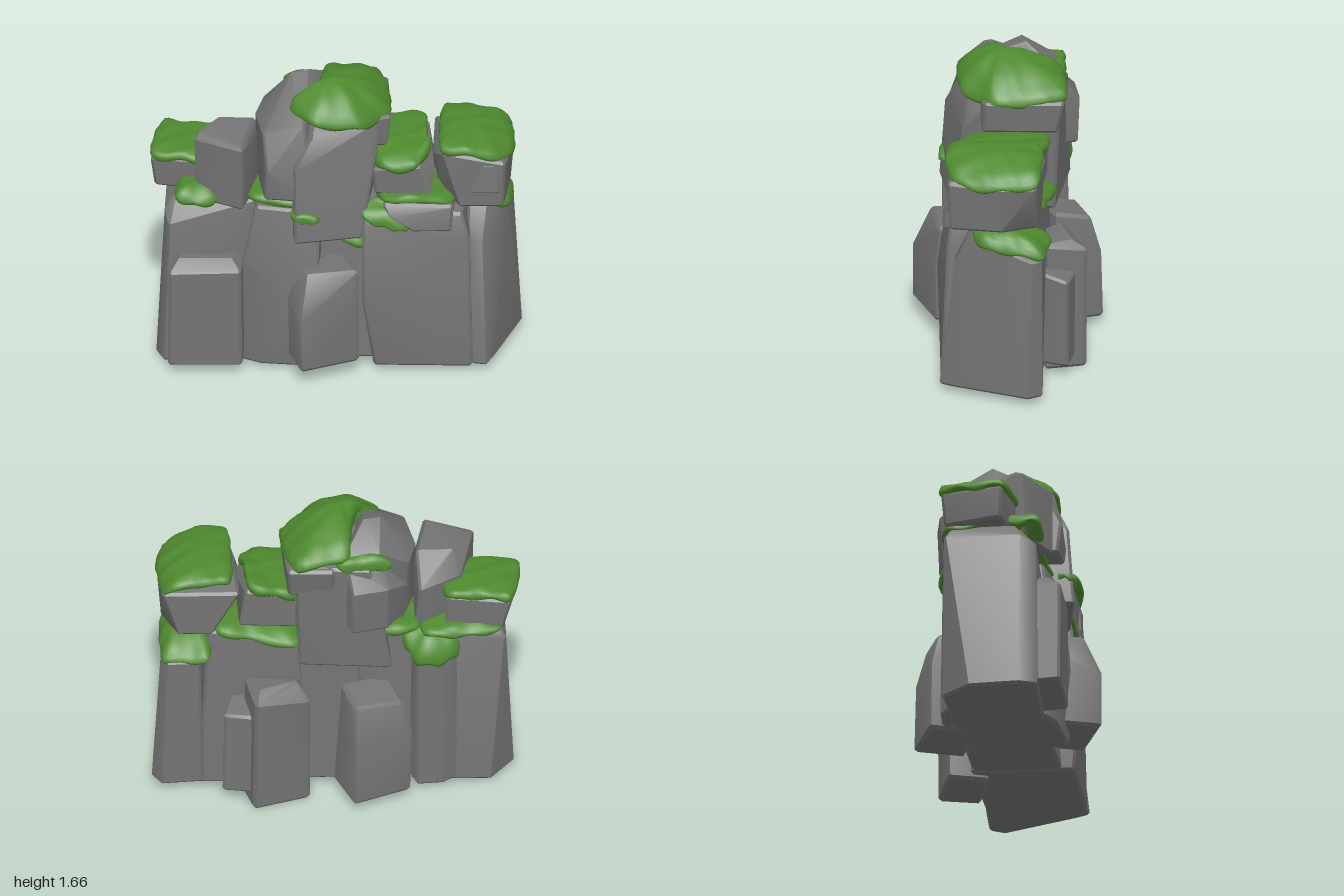
import * as THREE from 'three';
import { toCreasedNormals } from 'three/addons/utils/BufferGeometryUtils.js';
import { ConvexGeometry } from 'three/addons/geometries/ConvexGeometry.js';

const stone = new THREE.MeshStandardMaterial({ color: 0x747474 });
stone.name = 'stone grey';
const mossGreen = new THREE.MeshStandardMaterial({ color: 0x4f8a2f });
mossGreen.name = 'moss green';

// Chamfered boulder: hull of a flat base outline [x, z] at y0 and upper corners [x, y, z]
function rock(name, y0, base, upper, r = 0.014) {
  const corners = [...base.map(([x, z]) => [x, y0, z]), ...upper].map((p) => new THREE.Vector3(...p));
  const mid = new THREE.Box3().setFromPoints(corners).getCenter(new THREE.Vector3());
  const points = [];
  for (const c of corners) {
    for (const axis of ['x', 'y', 'z']) c[axis] -= Math.sign(c[axis] - mid[axis]) * r;
    for (const axis of ['x', 'y', 'z']) {
      for (const s of [-r, r]) {
        const p = c.clone();
        p[axis] += s;
        points.push(p);
      }
    }
  }
  const mesh = new THREE.Mesh(toCreasedNormals(new ConvexGeometry(points), 0.5), stone);
  mesh.name = name;
  return mesh;
}

// Lumpy moss cushion: rings from an apex out to a rounded rim [x, y, z], closed underneath
function moss(name, apex, rim, thick = 0.05, power = 2) {
  const N = 56;
  let area = 0;
  rim.forEach((p, i) => {
    const q = rim[(i + 1) % rim.length];
    area += p[0] * q[2] - q[0] * p[2];
  });
  const outline = (area > 0 ? [...rim].reverse() : rim).map((p) => new THREE.Vector3(...p));
  const edge = new THREE.CatmullRomCurve3(outline, true, 'catmullrom', 0.35).getSpacedPoints(N).slice(0, N);
  const [cx, cy, cz] = apex;
  // [spread, drop as a share of the thickness]
  const rings = [[0, 0], [0.2, 0], [0.4, 0], [0.58, 0], [0.74, 0], [0.87, 0.05], [0.96, 0.2],
    [1, 0.5], [0.98, 0.85], [0.9, 1], [0.5, 0.9], [0, 0.8]];
  const pos = [], index = [];
  rings.forEach(([f, d], i) => {
    edge.forEach((e, j) => {
      const x = cx + (e.x - cx) * f, z = cz + (e.z - cz) * f;
      const lump = Math.sin(x * 31 + z * 17) * Math.cos(z * 29 - x * 11) * 0.008;
      const sag = i > 6 ? 1 + 0.2 * Math.sin((j / N) * Math.PI * 14 + cx * 9) : 1;
      const under = i > 9 ? e.y - cy : (e.y - cy) * Math.pow(f, power);
      const y = cy + under - d * thick * sag + (i < 7 ? lump * Math.min(1, f * 3) : 0);
      pos.push(x + lump * 0.6 * f, y, z - lump * 0.6 * f);
      if (i) {
        const k = (j + 1) % N, a = (i - 1) * N, b = i * N;
        if (i > 1) index.push(a + j, b + k, a + k);
        if (f > 0) index.push(a + j, b + j, b + k);
      }
    });
  });
  const geo = new THREE.BufferGeometry();
  geo.setAttribute('position', new THREE.Float32BufferAttribute(pos, 3));
  geo.setIndex(index);
  geo.computeVertexNormals();
  const mesh = new THREE.Mesh(geo, mossGreen);
  mesh.name = name;
  return mesh;
}

export function createModel() {
  const model = new THREE.Group();
  model.name = 'mossyRocks';

  // Tall base columns
  const columns = new THREE.Group();
  columns.name = 'baseColumns';
  columns.add(
    rock('rightEndColumn', 0.015, [[-0.955, 0.2], [-0.92, 0.28], [-0.45, 0.25], [-0.4, -0.24], [-0.84, -0.25], [-0.955, -0.1]],
      [[-0.91, 0.93, 0.2], [-0.89, 0.88, 0.27], [-0.86, 1.0, 0.16], [-0.42, 0.98, 0.18], [-0.42, 1.0, -0.2], [-0.88, 1.0, -0.2], [-0.91, 0.94, -0.23], [-0.6, 0.72, 0.27]]),
    rock('rightMiddleColumn', 0.025, [[-0.49, 0.27], [-0.4, 0.31], [-0.08, 0.33], [-0.06, -0.2], [-0.48, -0.22]],
      [[-0.485, 0.66, 0.28], [-0.33, 0.5, 0.33], [-0.2, 0.43, 0.365], [-0.08, 0.42, 0.36], [-0.42, 0.97, 0.24], [-0.2, 0.97, 0.27], [-0.07, 0.93, 0.25], [-0.08, 1.0, -0.2], [-0.4, 1.0, -0.2]]),
    rock('centreColumn', 0.04, [[-0.14, 0.24], [0.24, 0.24], [0.24, -0.24], [-0.14, -0.24]],
      [[-0.12, 0.84, 0.14], [0.22, 0.74, 0.2], [0.22, 0.84, -0.22], [-0.12, 0.84, -0.22]]),
    rock('leftMiddleColumn', 0.03, [[0.22, 0.31], [0.75, 0.3], [0.75, -0.24], [0.17, -0.25]],
      [[0.16, 0.44, 0.36], [0.48, 0.6, 0.325], [0.16, 0.9, 0.3], [0.17, 1.0, 0.25], [0.7, 0.96, 0.25], [0.74, 0.82, 0.27], [0.7, 1.0, -0.2], [0.2, 0.94, -0.23]]),
    rock('leftEndColumn', 0.04, [[0.745, 0.29], [0.81, 0.3], [0.87, 0.22], [1.0, -0.2], [0.96, -0.265], [0.72, -0.25]],
      [[0.72, 0.78, 0.22], [0.79, 0.78, 0.22], [0.72, 0.98, 0.13], [0.81, 0.97, 0.12], [0.93, 0.92, 0.0], [0.955, 0.84, -0.22], [0.93, 0.84, -0.26], [0.74, 0.85, -0.27], [0.74, 0.99, -0.05]]),
    rock('rearColumn', 0.03, [[-0.66, -0.24], [-0.58, -0.3], [-0.42, -0.31], [-0.36, -0.1], [-0.64, -0.1]],
      [[-0.64, 0.84, -0.24], [-0.56, 0.84, -0.29], [-0.42, 0.84, -0.3], [-0.38, 0.93, -0.1], [-0.62, 0.93, -0.1]]),
  );

  // Short blocks leaning on the columns
  const blocks = new THREE.Group();
  blocks.name = 'footBlocks';
  blocks.add(
    rock('frontRightBlock', 0.055, [[-0.885, 0.4], [-0.485, 0.385], [-0.47, 0.1], [-0.87, 0.1]],
      [[-0.88, 0.64, 0.4], [-0.49, 0.65, 0.385], [-0.84, 0.69, 0.34], [-0.53, 0.69, 0.33], [-0.49, 0.67, 0.1], [-0.86, 0.67, 0.1]]),
    rock('frontCentreBlock', 0.095, [[-0.17, 0.515], [0.145, 0.385], [0.06, 0.15], [-0.245, 0.28]],
      [[-0.18, 0.43, 0.515], [0.145, 0.43, 0.39], [-0.255, 0.5, 0.3], [-0.15, 0.65, 0.42], [0.14, 0.65, 0.33], [0.04, 0.65, 0.15], [-0.2, 0.63, 0.25]], 0.018),
    rock('backRightBlock', 0.05, [[-0.385, -0.395], [-0.07, -0.515], [0.02, -0.25], [-0.29, -0.14]],
      [[-0.395, 0.45, -0.39], [-0.075, 0.45, -0.505], [-0.35, 0.62, -0.36], [-0.08, 0.64, -0.45], [-0.02, 0.68, -0.25], [-0.28, 0.66, -0.15]], 0.018),
    rock('backLeftBlock', 0, [[0.155, -0.375], [0.465, -0.465], [0.52, -0.24], [0.22, -0.16]],
      [[0.155, 0.66, -0.38], [0.455, 0.7, -0.47], [0.21, 0.74, -0.33], [0.44, 0.735, -0.4], [0.5, 0.73, -0.24], [0.22, 0.7, -0.18]], 0.018),
    rock('backLeftSlab', 0.07, [[0.45, -0.405], [0.625, -0.38], [0.58, -0.2], [0.44, -0.2]],
      [[0.46, 0.57, -0.405], [0.62, 0.57, -0.38], [0.58, 0.6, -0.22], [0.45, 0.6, -0.22]]),
  );

  // Boulders stacked on top
  const boulders = new THREE.Group();
  boulders.name = 'upperBoulders';
  boulders.add(
    rock('centreTower', 0.815, [[-0.205, 0.375], [0.16, 0.3], [0.21, -0.28], [-0.29, -0.325]],
      [[-0.21, 1.27, 0.345], [-0.12, 1.44, 0.27], [0.23, 1.3, 0.22], [0.19, 1.46, 0.2], [0.24, 1.46, 0.1], [0.23, 1.48, -0.31], [-0.18, 1.46, -0.32], [-0.1, 1.55, 0.05]]),
    rock('towerShoulder', 1.29, [[0.05, 0.14], [0.29, 0.11], [0.27, -0.3], [0.02, -0.31]],
      [[0.05, 1.47, 0.18], [0.305, 1.47, 0.1], [0.275, 1.47, -0.33], [0.02, 1.47, -0.34]]),
    rock('peakBoulder', 1.05, [[-0.42, 0], [-0.37, 0.31], [-0.1, 0.33], [0, -0.2], [-0.36, -0.2]],
      [[-0.43, 1.42, -0.02], [-0.36, 1.22, 0.33], [-0.38, 1.43, 0.24], [-0.15, 1.5, 0.26], [-0.25, 1.635, -0.08], [-0.13, 1.64, -0.11], [-0.39, 1.43, -0.19], [-0.24, 1.54, -0.26], [-0.03, 1.53, -0.28]]),
    rock('backBoulder', 1.08, [[-0.36, -0.18], [-0.28, -0.33], [-0.07, -0.38], [0, -0.2]],
      [[-0.38, 1.3, -0.2], [-0.28, 1.36, -0.35], [-0.07, 1.36, -0.39], [-0.25, 1.45, -0.24], [-0.05, 1.46, -0.28], [0, 1.4, -0.18]]),
    rock('rightUpperBlock', 0.98, [[-0.66, -0.1], [-0.42, -0.2], [-0.42, 0.08], [-0.48, 0.3], [-0.74, 0.2]],
      [[-0.67, 1.27, -0.1], [-0.44, 1.25, -0.2], [-0.41, 1.3, 0], [-0.48, 1.36, 0.3], [-0.75, 1.36, 0.19], [-0.74, 1.375, 0.15], [-0.64, 1.375, -0.03], [-0.43, 1.375, -0.03], [-0.48, 1.375, 0.25]]),
    rock('rightLedge', 1.0, [[-0.97, 0.09], [-0.62, 0.15], [-0.58, -0.2], [-0.9, -0.23]],
      [[-0.99, 1.18, 0.1], [-0.62, 1.19, 0.15], [-0.58, 1.19, -0.2], [-0.94, 1.18, -0.24]]),
    rock('leftUpperBlock', 1.0, [[0.67, 0.25], [0.92, 0.24], [0.945, -0.06], [0.87, -0.23], [0.67, -0.24]],
      [[0.56, 1.08, 0.12], [0.53, 1.25, 0.1], [0.58, 1.33, 0.24], [0.93, 1.28, 0.25], [0.965, 1.27, 0], [0.945, 1.27, -0.23], [0.53, 1.28, -0.25], [0.56, 1.34, 0], [0.9, 1.33, 0]]),
    rock('leftUpperKnob', 1.09, [[0.74, 0.265], [0.9, 0.26], [0.9, 0.1], [0.74, 0.1]],
      [[0.8, 1.27, 0.25], [0.9, 1.27, 0.25], [0.88, 1.27, 0.1], [0.78, 1.27, 0.1]]),
    rock('leftMiddleBlock', 1.04, [[0.22, 0.2], [0.52, 0.22], [0.53, -0.22], [0.22, -0.24]],
      [[0.21, 1.2, 0.2], [0.48, 1.23, 0.22], [0.545, 1.17, 0.15], [0.5, 1.27, -0.22], [0.21, 1.24, -0.24]]),
    rock('leftLedge', 0.87, [[0.42, 0.31], [0.64, 0.3], [0.66, -0.2], [0.3, -0.2]],
      [[0.3, 0.94, 0.3], [0.27, 1.02, 0.27], [0.65, 1.03, 0.29], [0.66, 1.03, -0.2], [0.27, 0.99, -0.2]]),
  );

  // Moss caps and patches
  const cushions = new THREE.Group();
  cushions.name = 'moss';
  cushions.add(
    moss('peakMoss', [-0.02, 1.665, 0.03], [[-0.06, 1.56, -0.29], [0.06, 1.54, -0.33], [0.22, 1.52, -0.34], [0.28, 1.5, -0.2], [0.305, 1.49, 0.04],
      [0.24, 1.49, 0.12], [0.15, 1.5, 0.24], [-0.1, 1.54, 0.27], [-0.25, 1.56, 0.13], [-0.13, 1.62, 0.08], [-0.08, 1.61, -0.1]], 0.06, 1.8),
    moss('backPeakMoss', [-0.14, 1.53, -0.26], [[-0.29, 1.49, -0.29], [-0.15, 1.49, -0.31], [0, 1.5, -0.32], [0, 1.52, -0.22], [-0.2, 1.53, -0.22]]),
    moss('leftUpperMoss', [0.72, 1.4, 0], [[0.58, 1.37, -0.23], [0.8, 1.36, -0.25], [0.945, 1.3, -0.22], [0.97, 1.29, 0.08], [0.9, 1.32, 0.23],
      [0.74, 1.37, 0.28], [0.58, 1.38, 0.25], [0.565, 1.38, 0]]),
    moss('leftMiddleMoss', [0.39, 1.3, 0], [[0.22, 1.28, -0.24], [0.47, 1.33, -0.24], [0.5, 1.33, 0], [0.52, 1.31, 0.08], [0.44, 1.26, 0.23], [0.24, 1.25, 0.21], [0.2, 1.28, 0]], 0.065),
    moss('rightLedgeMoss', [-0.78, 1.24, -0.04], [[-0.94, 1.23, -0.24], [-0.75, 1.23, -0.22], [-0.58, 1.23, -0.2], [-0.6, 1.225, 0.13], [-0.82, 1.225, 0.14], [-0.995, 1.225, 0.09]], 0.055),
    moss('rightColumnMoss', [-0.74, 1.09, 0.16], [[-0.85, 1.06, 0.27], [-0.74, 1.03, 0.285], [-0.63, 1.03, 0.25], [-0.55, 1.03, 0], [-0.82, 1.05, 0.05]]),
    moss('rightBackMoss', [-0.7, 1.04, -0.12], [[-0.88, 1.01, -0.23], [-0.65, 1.0, -0.27], [-0.46, 1.01, -0.25], [-0.48, 1.03, 0], [-0.85, 1.03, 0]], 0.04),
    moss('rearColumnMoss', [-0.5, 0.99, -0.2], [[-0.66, 0.9, -0.24], [-0.56, 0.87, -0.31], [-0.42, 0.88, -0.31], [-0.35, 0.98, -0.18], [-0.5, 1.02, -0.1], [-0.64, 0.97, -0.14]], 0.065),
    moss('rightMiddleMoss', [-0.3, 1.05, 0.05], [[-0.46, 1.04, 0.21], [-0.3, 1.03, 0.25], [-0.2, 1.01, 0.27], [-0.08, 0.99, 0.26], [-0.07, 1.03, -0.22], [-0.43, 1.04, -0.24]]),
    moss('towerFootMoss', [-0.15, 0.995, 0.34], [[-0.225, 1.0, 0.32], [-0.2, 0.985, 0.375], [-0.14, 0.975, 0.38], [-0.075, 0.975, 0.365], [-0.08, 0.98, 0.3], [-0.2, 1.0, 0.27]], 0.035),
    moss('centreMoss', [0.05, 0.85, 0], [[-0.1, 0.84, 0.18], [0.03, 0.8, 0.22], [0.16, 0.77, 0.24], [0.24, 0.83, 0], [0.2, 0.86, -0.25], [-0.1, 0.86, -0.25]]),
    moss('leftMiddleColumnMoss', [0.28, 0.99, 0.25], [[0.155, 0.98, 0.28], [0.25, 0.93, 0.31], [0.4, 0.9, 0.3], [0.4, 1.0, 0.22], [0.2, 1.02, 0.2]], 0.04),
    moss('leftLedgeMoss', [0.45, 1.06, 0], [[0.25, 1.05, 0.23], [0.45, 1.06, 0.26], [0.65, 1.065, 0.25], [0.67, 1.05, -0.22], [0.45, 1.0, -0.26], [0.2, 0.97, -0.27]], 0.045),
    moss('leftColumnMoss', [0.81, 1.01, 0.02], [[0.71, 1.0, 0.14], [0.82, 0.99, 0.13], [0.935, 0.94, 0.07], [0.96, 0.91, -0.1], [0.945, 0.88, -0.27], [0.84, 0.88, -0.28], [0.69, 0.89, -0.28], [0.69, 1.0, 0]], 0.045),
  );

  model.add(columns, blocks, boulders, cushions);
  return model;
}
